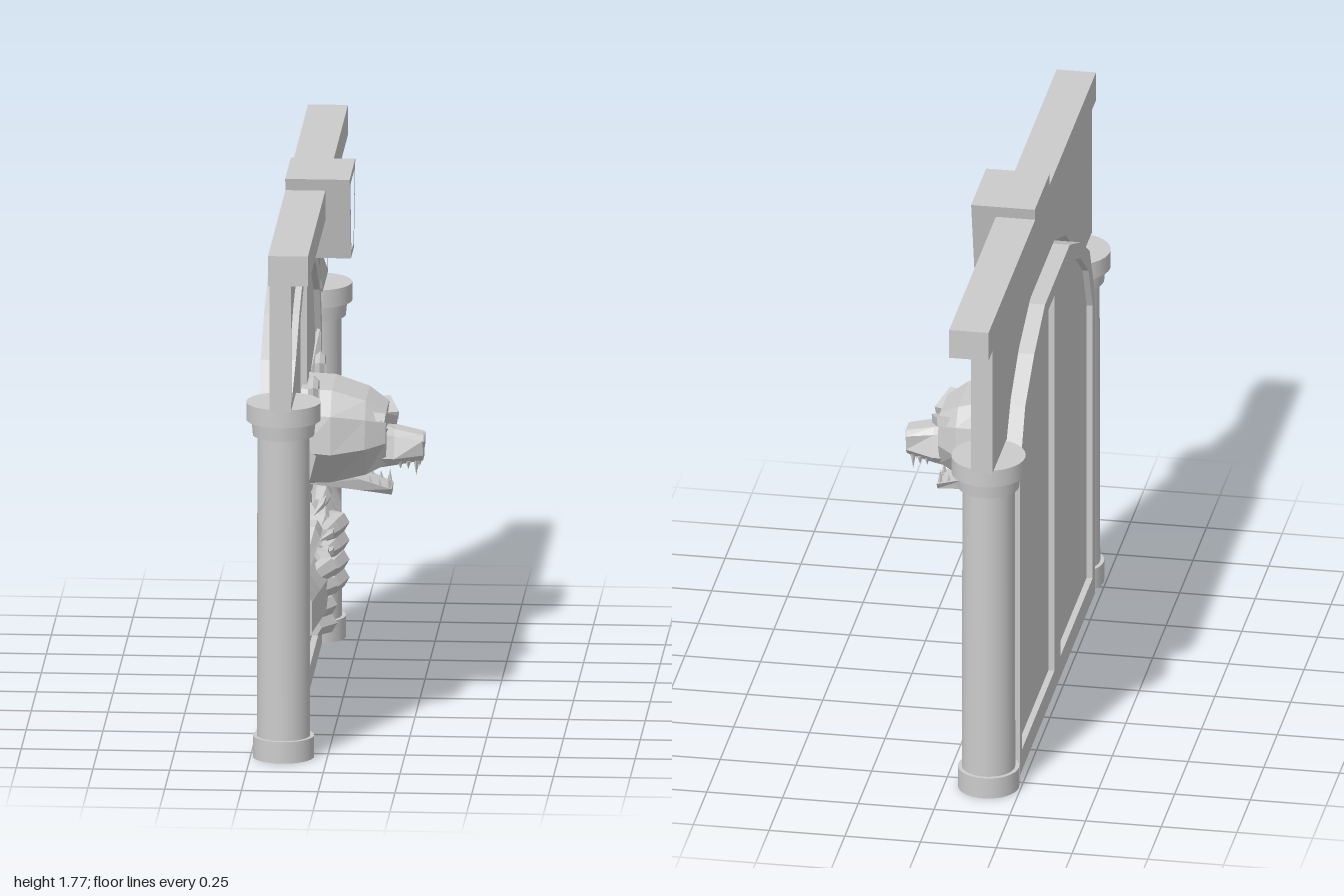
import * as THREE from 'three';

const flat = new THREE.MeshStandardMaterial({ color: 0xcccccc, flatShading: true });
const smooth = new THREE.MeshStandardMaterial({ color: 0xcccccc });

function add(parent, name, geometry, material = flat, x = 0, y = 0, z = 0) {
  const m = new THREE.Mesh(geometry, material);
  m.name = name;
  m.position.set(x, y, z);
  parent.add(m);
  return m;
}

// Skin a list of equal-sized rings ([x, y, z] points) and cap both ends, facing outwards
function loft(rings) {
  const n = rings[0].length, pos = rings.flat(2), idx = [];
  for (let r = 0; r < rings.length - 1; r++) {
    for (let i = 0; i < n; i++) {
      const a = r * n + i, b = r * n + (i + 1) % n;
      idx.push(a, b, b + n, a, b + n, a + n);
    }
  }
  const last = (rings.length - 1) * n;
  for (let i = 1; i < n - 1; i++) idx.push(0, i + 1, i, last, last + i, last + i + 1);
  const v = (i) => new THREE.Vector3().fromArray(pos, i * 3);
  let volume = 0;
  for (let i = 0; i < idx.length; i += 3) volume += v(idx[i]).dot(v(idx[i + 1]).cross(v(idx[i + 2])));
  if (volume < 0) idx.reverse();
  const g = new THREE.BufferGeometry();
  g.setAttribute('position', new THREE.Float32BufferAttribute(pos, 3));
  g.setIndex(idx);
  const out = g.toNonIndexed();
  out.computeVertexNormals();
  return out;
}

// Limb along x: stations are [x, y, z, radiusY, radiusZ]; s mirrors it
function limb(stations, s, sides) {
  return loft(stations.map(([x, y, z, ry, rz]) => Array.from({ length: sides }, (_, i) => {
    const a = ((i + 0.5) / sides) * Math.PI * 2;
    return [s * x, y + ry * Math.cos(a), z + rz * Math.sin(a)];
  })));
}

// Symmetric form along z: stations are [z, [x, y], [x, y], ...] from top to bottom
function faceForm(stations) {
  return loft(stations.map(([z, ...pts]) => [
    ...pts.map(([x, y]) => [x, y, z]),
    ...pts.slice().reverse().map(([x, y]) => [-x, y, z]),
  ]));
}

const toPath = (pts, s = 1) => pts.map(([x, y]) => new THREE.Vector2(s * x, y));
const mirrored = (half) => [...half, ...half.slice().reverse().map(([x, y]) => [-x, y])];

// Plate between depths z0 and z1 with optional holes
function plate(outline, holes, z0, z1) {
  const shape = new THREE.Shape(toPath(outline));
  for (const h of holes) shape.holes.push(new THREE.Path(h));
  return new THREE.ExtrudeGeometry(shape, { depth: z1 - z0, bevelEnabled: false }).translate(0, 0, z0);
}

function buildArchitecture(g) {
  // Arched door with two sunk panels on both faces
  const door = mirrored([[0.695, 0], [0.695, 1.09], [0.6, 1.28], [0.43, 1.39], [0.23, 1.475]]);
  const panel = [[0.055, 0.075], [0.655, 0.075], [0.655, 1.056], [0.58, 1.217], [0.434, 1.33], [0.22, 1.426], [0.055, 1.426]];
  const panels = [toPath(panel), toPath(panel, -1)];
  add(g, 'doorCore', plate(door, [], -0.21, -0.135));
  add(g, 'doorFrontFrame', plate(door, panels, -0.135, -0.115));
  add(g, 'doorBackFrame', plate(door, panels, -0.23, -0.21));

  // Wall above the door with a raised border
  const wall = mirrored([[0.93, 1.63], [0.93, 1.19], [0.66, 1.19], [0.585, 1.3], [0.434, 1.41], [0.22, 1.49]]);
  const sunk = mirrored([[0.905, 1.605], [0.905, 1.205], [0.64, 1.205], [0.592, 1.33], [0.425, 1.437], [0.225, 1.515]]);
  add(g, 'archWall', plate(wall, [], -0.18, -0.135));
  add(g, 'archWallBorder', plate(wall, [toPath(sunk)], -0.135, -0.11));

  add(g, 'cornice', new THREE.BoxGeometry(2, 0.1, 0.13), flat, 0, 1.68, -0.115);

  // Keystone with a sunk face
  const key = mirrored([[0.14, 1.77], [0.075, 1.49]]);
  const keySunk = mirrored([[0.105, 1.745], [0.055, 1.51]]);
  add(g, 'keystone', plate(key, [], -0.18, -0.01));
  add(g, 'keystoneRim', plate(key, [toPath(keySunk)], -0.01, 0.03));

  // Columns: [name, top radius, bottom radius, y0, y1]
  const drums = [
    ['columnBase', 0.1, 0.1, 0, 0.072],
    ['columnShaft', 0.085, 0.087, 0.072, 1.09],
    ['columnNeck', 0.105, 0.1, 1.08, 1.135],
    ['columnCapital', 0.121, 0.121, 1.13, 1.19],
  ];
  for (const s of [-1, 1]) {
    for (const [name, rt, rb, y0, y1] of drums) {
      add(g, name, new THREE.CylinderGeometry(rt, rb, y1 - y0, 32), smooth, s * 0.79, (y0 + y1) / 2, -0.143);
    }
  }
}

function buildHead(g) {
  add(g, 'skull', faceForm([
    [-0.13, [0.11, 1.06], [0.18, 0.99], [0.205, 0.87], [0.1, 0.74]],
    [-0.03, [0.11, 1.055], [0.185, 0.985], [0.2, 0.86], [0.1, 0.745]],
    [0.08, [0.1, 1.02], [0.145, 0.965], [0.16, 0.87], [0.09, 0.77]],
    [0.145, [0.07, 0.98], [0.1, 0.945], [0.11, 0.88], [0.07, 0.8]],
  ]));
  add(g, 'muzzle', faceForm([
    [0.07, [0.035, 0.95], [0.08, 0.91], [0.105, 0.83], [0.07, 0.78]],
    [0.17, [0.035, 0.91], [0.055, 0.89], [0.08, 0.82], [0.06, 0.795]],
    [0.262, [0.03, 0.89], [0.05, 0.875], [0.045, 0.825], [0.028, 0.805]],
  ]));
  add(g, 'nose', faceForm([
    [0.24, [0.035, 0.893], [0.045, 0.868], [0.015, 0.84]],
    [0.266, [0.03, 0.888], [0.035, 0.868], [0.012, 0.845]],
  ]));
  add(g, 'lowerJaw', faceForm([
    [-0.1, [0.1, 0.8], [0.1, 0.738]],
    [0.06, [0.078, 0.75], [0.07, 0.712]],
    [0.16, [0.05, 0.712], [0.035, 0.69]],
  ]));

  const tooth = (name, x, y, z, h, up) => {
    const t = add(g, name, new THREE.ConeGeometry(0.009, h, 4), flat, x, y, z);
    if (!up) t.rotation.x = Math.PI;
  };
  for (const s of [-1, 1]) {
    // Teeth
    for (const [x, z, h] of [[0.012, 0.25, 0.025], [0.034, 0.24, 0.05], [0.048, 0.215, 0.028], [0.055, 0.19, 0.025]]) {
      tooth('upperTooth', s * x, 0.807 - h / 2, z, h, false);
    }
    for (const [x, y, z, h] of [[0.012, 0.71, 0.153, 0.025], [0.038, 0.71, 0.15, 0.05], [0.05, 0.722, 0.12, 0.028], [0.058, 0.733, 0.09, 0.025]]) {
      tooth('lowerTooth', s * x, y + h / 2, z, h, true);
    }
    // Slanted brows and eyes
    const brow = add(g, 'brow', new THREE.BoxGeometry(0.105, 0.028, 0.05), flat, s * 0.07, 0.955, 0.138);
    brow.rotation.set(0, s * 0.35, s * 0.3);
    const eye = add(g, 'eye', new THREE.OctahedronGeometry(0.03), flat, s * 0.078, 0.92, 0.14);
    eye.scale.set(1, 0.5, 0.4);
    eye.rotation.z = s * 0.3;
    // Ears
    add(g, 'earRim', new THREE.TorusGeometry(0.04, 0.016, 4, 7), flat, s * 0.165, 1.065, -0.085);
    add(g, 'earInner', new THREE.CylinderGeometry(0.035, 0.035, 0.012, 7).rotateX(Math.PI / 2), flat, s * 0.165, 1.065, -0.09);
    // Flat pointed rays lying on the door
    for (const [tipY, top, bottom] of [[1.1, 1.03, 0.9], [0.72, 0.91, 0.81]]) {
      add(g, 'ray', loft([
        [[s * 0.19, top, -0.12], [s * 0.19, (top + bottom) / 2, -0.075], [s * 0.19, bottom, -0.12]],
        [[s * 0.52, tipY + 0.001, -0.12], [s * 0.52, tipY, -0.11], [s * 0.52, tipY - 0.001, -0.12]],
      ]));
    }
  }
}

function buildArm(g, s) {
  add(g, 'forearm', limb([
    [0.705, 0.445, -0.12, 0.132, 0.07],
    [0.6, 0.445, -0.12, 0.132, 0.08],
    [0.5, 0.435, -0.12, 0.132, 0.085],
    [0.38, 0.43, -0.12, 0.135, 0.095],
    [0.28, 0.425, -0.11, 0.125, 0.09],
    [0.19, 0.42, -0.11, 0.09, 0.05],
  ], s, 8));
  // Four fingers with curved claws: [base y, knuckle y, tip y]
  for (const [base, mid, tip] of [[0.5, 0.51, 0.515], [0.45, 0.45, 0.46], [0.385, 0.385, 0.395], [0.33, 0.325, 0.32]]) {
    add(g, 'finger', limb([
      [0.39, base, -0.075, 0.03, 0.03],
      [0.3, mid, -0.035, 0.036, 0.036],
      [0.2, mid, -0.055, 0.034, 0.034],
      [0.12, mid, -0.075, 0.022, 0.024],
    ], s, 6));
    add(g, 'claw', limb([
      [0.16, mid, -0.055, 0.02, 0.02],
      [0.09, (mid + tip) / 2 + 0.006, -0.05, 0.013, 0.014],
      [0.025, tip, -0.08, 0.001, 0.001],
    ], s, 4));
  }
  // Thumb over the top of the paw
  add(g, 'thumb', limb([
    [0.42, 0.535, -0.11, 0.03, 0.03],
    [0.3, 0.61, -0.09, 0.04, 0.035],
    [0.22, 0.62, -0.085, 0.032, 0.032],
    [0.15, 0.605, -0.09, 0.02, 0.022],
  ], s, 6));
  add(g, 'thumbClaw', limb([
    [0.18, 0.615, -0.08, 0.018, 0.018],
    [0.12, 0.61, -0.08, 0.012, 0.012],
    [0.07, 0.59, -0.1, 0.001, 0.001],
  ], s, 4));
}

export function createModel() {
  const root = new THREE.Group();
  root.name = 'beastDoor';
  const parts = { doorway: buildArchitecture, head: buildHead, leftArm: (g) => buildArm(g, -1), rightArm: (g) => buildArm(g, 1) };
  for (const [name, build] of Object.entries(parts)) {
    const g = new THREE.Group();
    g.name = name;
    g.rotation.y = Math.PI / 2; // the door opens towards +x
    build(g);
    root.add(g);
  }
  return root;
}
